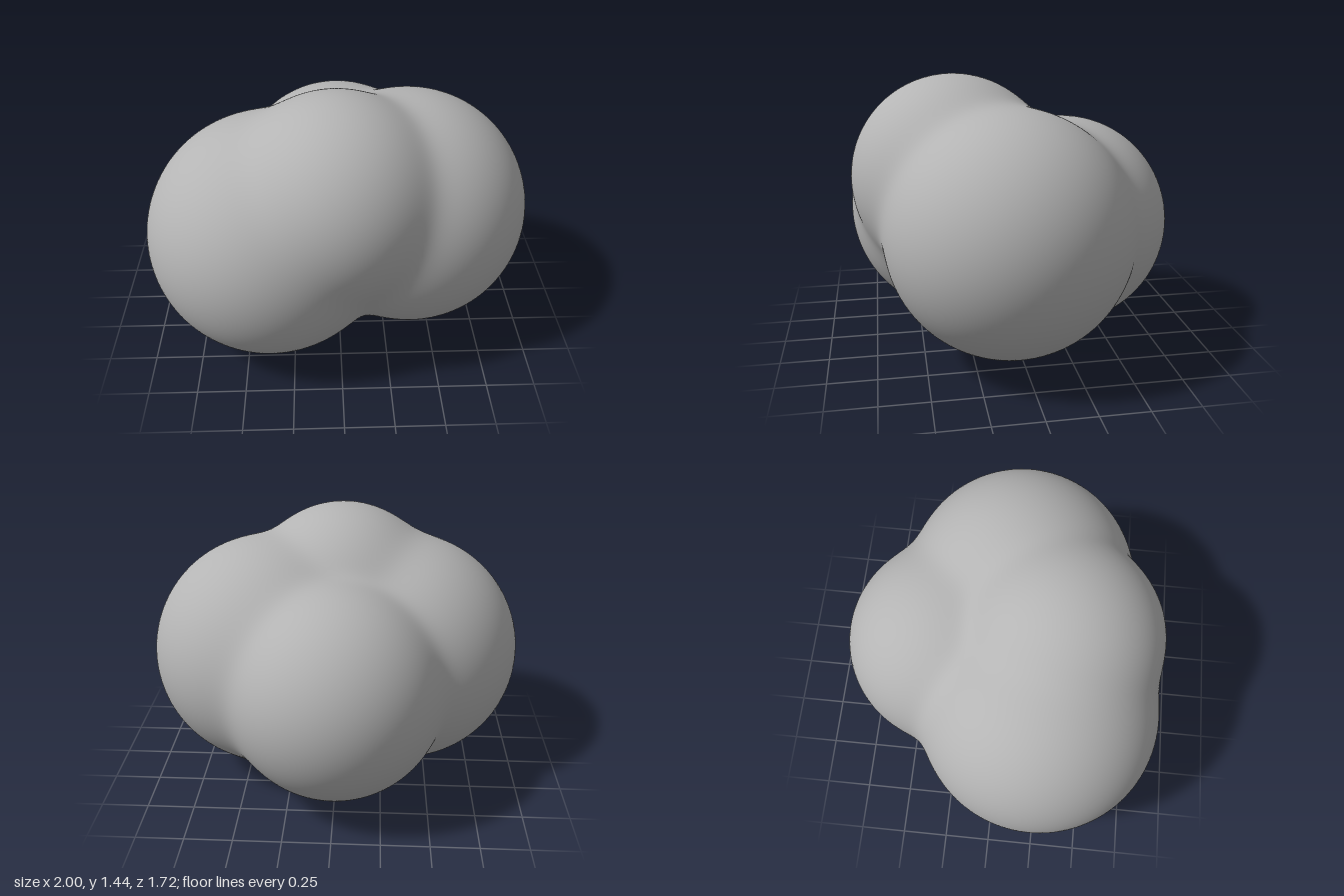
import * as THREE from 'three';
import { mergeVertices } from 'three/addons/utils/BufferGeometryUtils.js';

// Lobes of the cloud: centre x, y, z and radius
const lobes = [
  { c: new THREE.Vector3(-0.36, 0.64, 0.22), r: 0.64 }, // right side
  { c: new THREE.Vector3(0.37, 0.69, 0.06), r: 0.63 }, // left side
  { c: new THREE.Vector3(-0.02, 0.9, 0.3), r: 0.54 }, // upper front
  { c: new THREE.Vector3(0, 0.63, -0.29), r: 0.57 }, // back
];
const BLEND = 0.035;

// Smooth union of the lobes: negative inside, positive outside
function field(p) {
  let sum = 0;
  for (const { c, r } of lobes) sum += Math.exp(-(p.distanceTo(c) - r) / BLEND);
  return -BLEND * Math.log(sum);
}

// Push a fine ball outward from a point shared by every lobe until it meets the surface
function blendedLobes() {
  const ball = new THREE.IcosahedronGeometry(1, 40);
  ball.deleteAttribute('uv');
  ball.deleteAttribute('normal');
  const geometry = mergeVertices(ball, 1e-4);
  const core = new THREE.Vector3(0, 0.68, 0.08);
  const position = geometry.attributes.position;
  const dir = new THREE.Vector3();
  const p = new THREE.Vector3();
  for (let i = 0; i < position.count; i++) {
    dir.fromBufferAttribute(position, i).normalize();
    let near = 0;
    let far = 1.6;
    for (let step = 0; step < 24; step++) {
      const mid = (near + far) / 2;
      p.copy(core).addScaledVector(dir, mid);
      if (field(p) < 0) near = mid;
      else far = mid;
    }
    position.setXYZ(i, p.x, p.y, p.z);
  }
  geometry.computeVertexNormals();
  return geometry;
}

export function createModel() {
  const grey = new THREE.MeshStandardMaterial({ color: 0xb4b4b4 });
  grey.name = 'soft grey';
  const body = new THREE.Mesh(blendedLobes(), grey);
  body.name = 'blendedLobes';
  const model = new THREE.Group();
  model.name = 'lobedBlob';
  model.add(body);
  return model;
}
